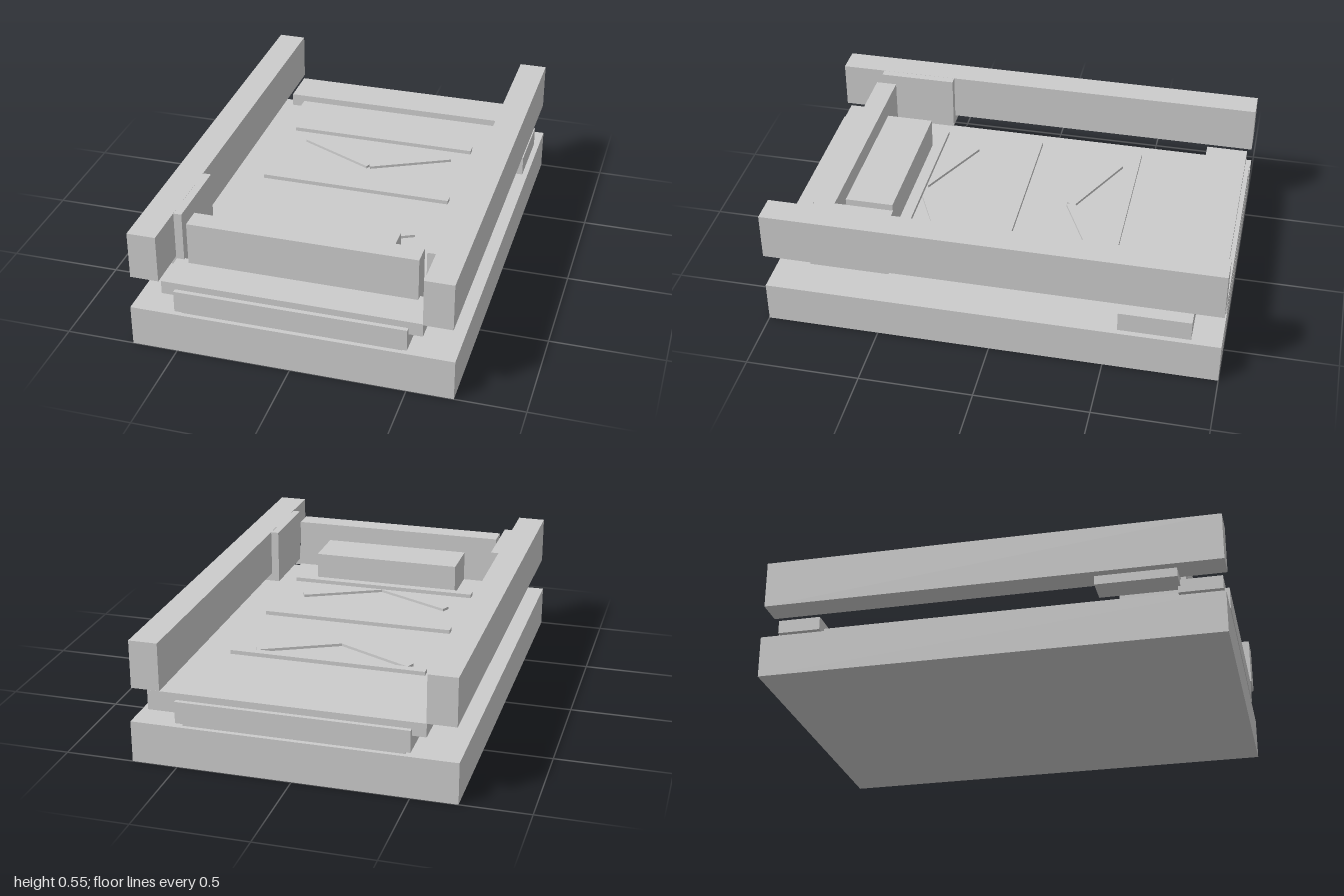
import * as THREE from 'three';

const material = new THREE.MeshStandardMaterial({ color: 0xcccccc, flatShading: true });

export function createModel() {
  const model = new THREE.Group();

  const add = (name, geometry, x, y, z) => {
    const mesh = new THREE.Mesh(geometry, material);
    mesh.name = name;
    mesh.position.set(x, y, z);
    model.add(mesh);
    return mesh;
  };

  // box given by its extents on each axis
  const box = (name, [x0, x1], [y0, y1], [z0, z1]) =>
    add(name, new THREE.BoxGeometry(x1 - x0, y1 - y0, z1 - z0),
      (x0 + x1) / 2, (y0 + y1) / 2, (z0 + z1) / 2);

  // base and raised bed
  box('base', [-0.7, 0.7], [0, 0.185], [-1, 1]);
  box('bed', [-0.5, 0.5], [0.203, 0.3], [-1, 1]);

  // end bars and the spacer strips beneath the bed
  for (const s of [-1, 1]) {
    const end = s < 0 ? 'back' : 'front';
    const span = (a, b) => (s < 0 ? [-b, -a] : [a, b]);
    box(end + 'Bar', [-0.56, 0.56], [0.27, 0.33], span(0.79, 0.98));
    box(end + 'Spacer', [-0.475, 0.475], [0.185, 0.203], span(0.865, 0.98));
  }

  // side rails with their inner mounting blocks
  for (const s of [-1, 1]) {
    const side = s < 0 ? 'right' : 'left';
    const span = (a, b) => (s < 0 ? [-b, -a] : [a, b]);
    box(side + 'Rail', span(0.563, 0.688), [0.34, 0.552], [-1, 1]);
    box(side + 'RailBlock', span(0.527, 0.65), [0.3, 0.5515], [0.45, 0.8]);
  }

  // upright panel and the box behind it
  box('frontPanel', [-0.5, 0.5], [0.3, 0.522], [0.725, 0.82]);
  box('panelBox', [-0.345, 0.345], [0.3, 0.44], [0.51, 0.725]);

  // block on one side of the base
  box('sideBlock', [0.5, 0.675], [0.185, 0.275], [-0.87, -0.555]);

  // cross slats just above the bed
  for (const z of [-0.475, 0.005, 0.467])
    box('slat', [-0.437, 0.437], [0.312, 0.33], [z - 0.019, z + 0.019]);

  // V-shaped ribs on the bed
  for (const apex of [-0.23, 0.465]) {
    for (const s of [-1, 1]) {
      const arm = add('chevronArm', new THREE.BoxGeometry(0.39, 0.012, 0.04),
        s * 0.175, 0.306, apex - 0.085);
      arm.rotation.y = s * 0.453;
    }
  }

  // rollers sunk into the base
  for (const z of [0.13, -0.295]) {
    const roller = add('roller', new THREE.CylinderGeometry(0.032, 0.032, 0.95, 24), 0, 0.164, z);
    roller.rotation.z = Math.PI / 2;
  }

  return model;
}
